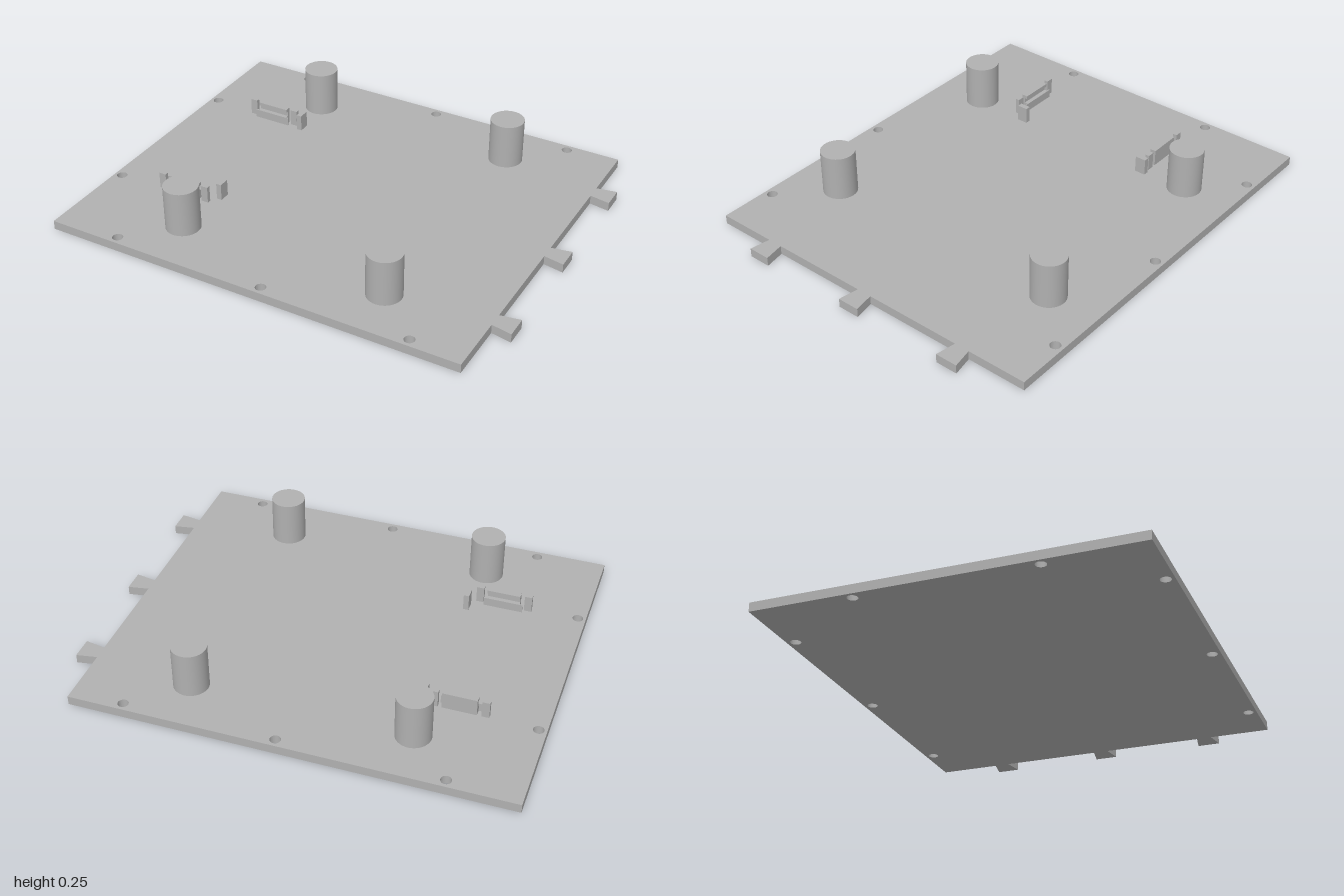
import * as THREE from 'three';

const T = 0.04;      // plate thickness
const TOP = 0.115;   // top of the small fittings

export function createModel() {
  const model = new THREE.Group();
  const grey = new THREE.MeshStandardMaterial({ color: 0xb0b0b0 });
  grey.name = 'plain grey';

  const add = (parent, name, geometry) => {
    const mesh = new THREE.Mesh(geometry, grey);
    mesh.name = name;
    parent.add(mesh);
    return mesh;
  };
  // Box given by its limits on each axis
  const block = (parent, name, [x0, x1], [y0, y1], [z0, z1]) =>
    add(parent, name, new THREE.BoxGeometry(x1 - x0, y1 - y0, z1 - z0))
      .position.set((x0 + x1) / 2, (y0 + y1) / 2, (z0 + z1) / 2);

  // Base plate with three dovetail tabs along its left edge
  const edge = 0.91, half = 0.815;
  const outline = new THREE.Shape();
  outline.moveTo(-1, -half);
  outline.lineTo(edge, -half);
  for (const c of [-0.512, 0, 0.512]) {
    outline.lineTo(edge, c - 0.034);
    outline.lineTo(1, c - 0.05);
    outline.lineTo(1, c + 0.05);
    outline.lineTo(edge, c + 0.034);
  }
  outline.lineTo(edge, half);
  outline.lineTo(-1, half);
  outline.closePath();

  // Screw holes along three edges
  for (const s of [-1, 1]) {
    for (const [x, z] of [[-0.692, 0.778], [0.011, 0.778], [0.676, 0.778], [-0.965, 0.383]]) {
      const hole = new THREE.Path();
      hole.absarc(x, s * z, 0.023, 0, Math.PI * 2, true);
      outline.holes.push(hole);
    }
  }
  const plate = new THREE.ExtrudeGeometry(outline, { depth: T, bevelEnabled: false, curveSegments: 24 });
  plate.rotateX(-Math.PI / 2);
  add(model, 'basePlate', plate);

  // Four round posts
  for (const x of [-0.5, 0.46]) {
    for (const z of [-0.576, 0.576]) {
      add(model, 'post', new THREE.CylinderGeometry(0.076, 0.076, 0.205, 48))
        .position.set(x, T + 0.1025, z);
    }
  }

  // Two mirrored clip holders
  for (const s of [-1, 1]) {
    const holder = new THREE.Group();
    holder.name = s > 0 ? 'frontHolder' : 'backHolder';
    model.add(holder);
    const zs = (a, b) => (s > 0 ? [a, b] : [-b, -a]);
    // Upright side guides
    block(holder, 'guide', [-0.76, -0.727], [T, TOP], zs(0.361, 0.379));
    block(holder, 'guide', [-0.543, -0.51], [T, TOP], zs(0.361, 0.379));
    // Clip: back wall, top lip and lower ledge around a groove
    const w = [-0.708, -0.56];
    block(holder, 'clipWall', w, [T, TOP], zs(0.364, 0.379));
    block(holder, 'clipLip', w, [0.1, TOP], zs(0.352, 0.364));
    block(holder, 'clipLedge', w, [T, 0.078], zs(0.35, 0.364));
    // Low thin strip in front of the clip
    block(holder, 'strip', [-0.722, -0.548], [T, 0.078], zs(0.344, 0.35));
  }

  // Loose stop blocks beside the holders
  block(model, 'stopBlock', [-0.494, -0.47], [T, TOP], [0.284, 0.333]);
  block(model, 'stopBlock', [-0.494, -0.47], [T, TOP], [-0.386, -0.336]);

  return model;
}
